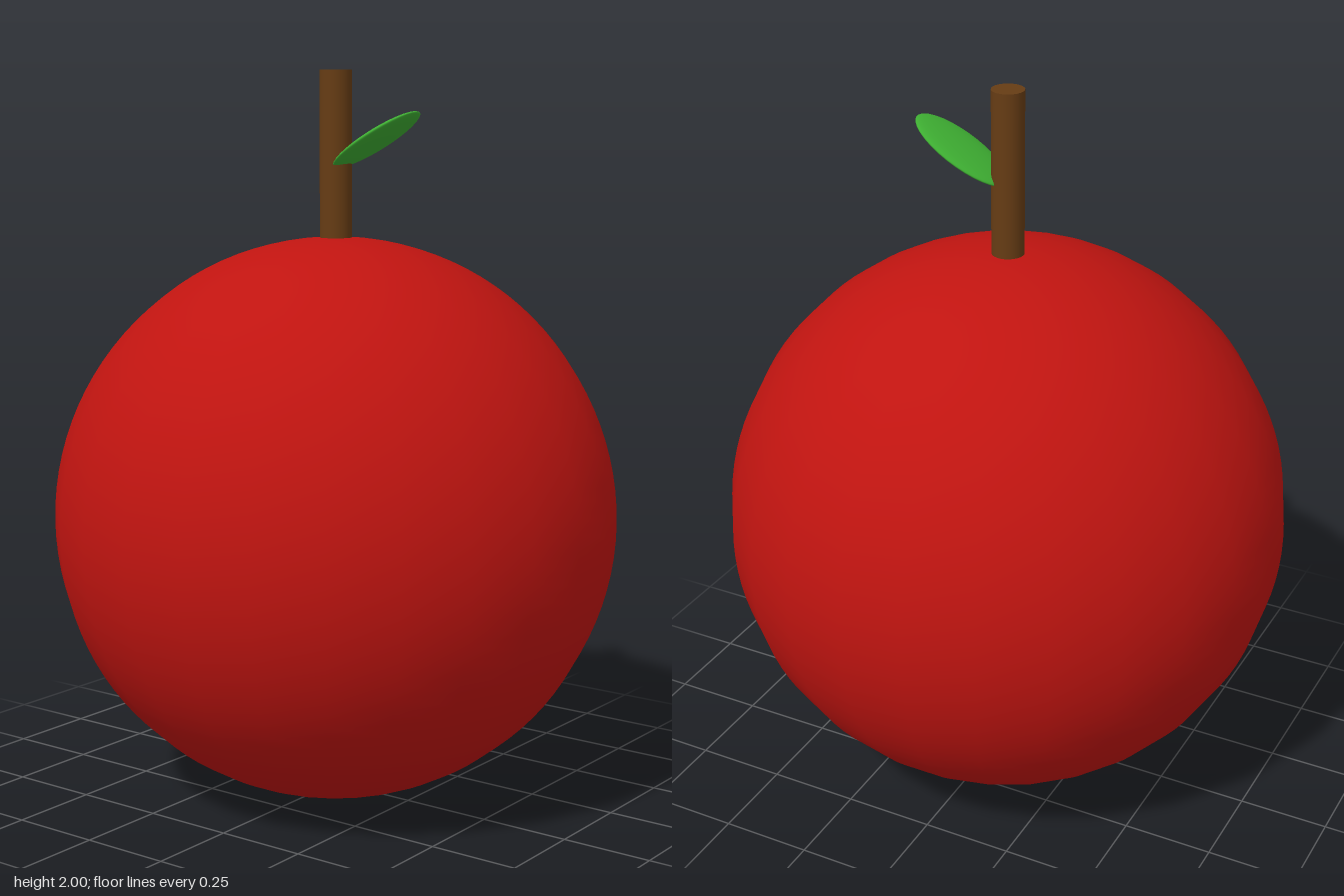
import * as THREE from 'three';

function part(name, geometry, color) {
  const mesh = new THREE.Mesh(geometry, new THREE.MeshStandardMaterial({ color }));
  mesh.name = name;
  return mesh;
}

export function createModel() {
  const model = new THREE.Group();
  model.name = 'apple';

  // Round fruit: 26 meridians, with corners on the z axis
  const radius = 0.776;
  const fruit = part('fruit', new THREE.SphereGeometry(radius, 26, 52).rotateY(Math.PI / 2), 0xc01410);
  fruit.position.y = radius;

  // Straight stem, sunk slightly into the fruit
  const stemBottom = 1.5;
  const stem = part('stem', new THREE.CylinderGeometry(0.044, 0.044, 2 - stemBottom, 24), 0x663c14);
  stem.position.y = (2 + stemBottom) / 2;

  // Flattened oval leaf, rising towards the front
  const leaf = part('leaf', new THREE.SphereGeometry(1, 32, 24).scale(0.083, 0.016, 0.15), 0x3eae32);
  leaf.position.set(0, 1.815, 0.134);
  leaf.rotation.x = -Math.PI / 6;

  model.add(fruit, stem, leaf);
  return model;
}
